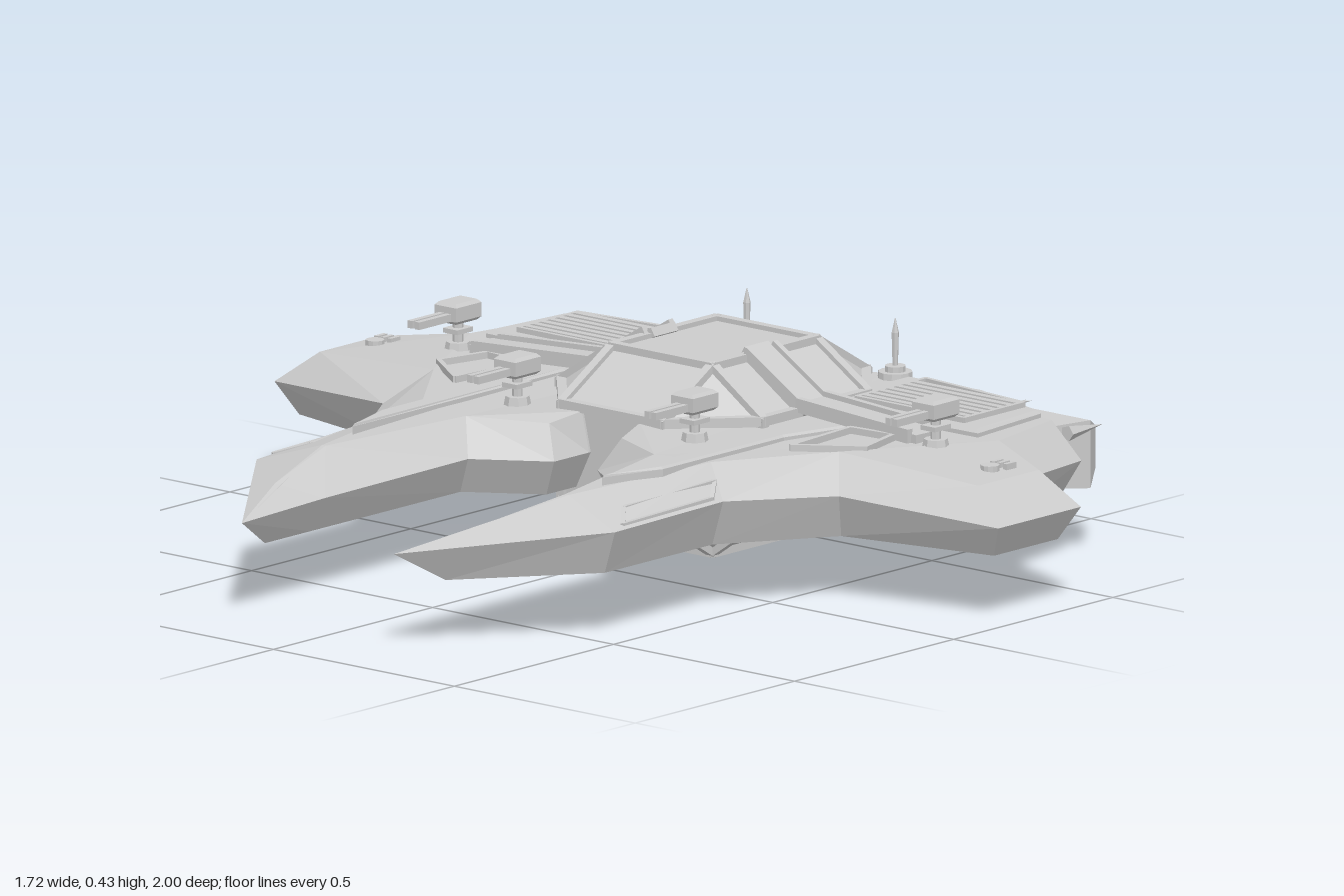
import * as THREE from 'three';
import { ConvexGeometry } from 'three/addons/geometries/ConvexGeometry.js';
import { mergeGeometries } from 'three/addons/utils/BufferGeometryUtils.js';

const V = (x, y, z) => new THREE.Vector3(x, y, z);
const material = new THREE.MeshStandardMaterial({ color: 0xcccccc, flatShading: true });

// Joins pieces into one plain triangle list
function join(geos) {
  return mergeGeometries(geos.map((g) => {
    const n = g.index ? g.toNonIndexed() : g.clone();
    n.deleteAttribute('uv');
    n.computeVertexNormals();
    return n;
  }));
}

// Copy reflected in z, with the corner order turned round
function mirrored(geo) {
  const g = geo.clone(), p = g.attributes.position, src = geo.attributes.position;
  for (let i = 0; i < p.count; i++) {
    const k = i % 3 === 1 ? i + 1 : i % 3 === 2 ? i - 1 : i;
    p.setXYZ(i, src.getX(k), src.getY(k), -src.getZ(k));
  }
  g.computeVertexNormals();
  return g;
}

const box = (x0, x1, y0, y1, z0, z1) =>
  new THREE.BoxGeometry(x1 - x0, y1 - y0, z1 - z0).translate((x0 + x1) / 2, (y0 + y1) / 2, (z0 + z1) / 2);
const cyl = (rt, rb, y0, y1, x, z, n = 8) =>
  new THREE.CylinderGeometry(rt, rb, y1 - y0, n).translate(x, (y0 + y1) / 2, z);

// Straight bar between two points
function beam(a, b, w, h = w) {
  const d = b.clone().sub(a);
  const g = new THREE.BoxGeometry(w, h, d.length() + w * 0.5).lookAt(d);
  return g.translate((a.x + b.x) / 2, (a.y + b.y) / 2, (a.z + b.z) / 2);
}
const outline = (pts, w, h) => pts.map((p, i) => beam(p, pts[(i + 1) % pts.length], w, h));

// Flat plate from an x/z outline
function plate(pts, top, depth, bevel = 0) {
  const shape = new THREE.Shape(pts.map(([x, z]) => new THREE.Vector2(x, z)));
  const g = new THREE.ExtrudeGeometry(shape, {
    depth, bevelEnabled: bevel > 0, bevelSize: bevel, bevelThickness: bevel, bevelSegments: 1, bevelOffset: -bevel,
  });
  return g.rotateX(Math.PI / 2).translate(0, top - bevel, 0);
}

// Moves a closed x/z loop inwards by d
function inset(loop, d, y) {
  const n = loop.length;
  return loop.map((p, i) => {
    const a = loop[(i + n - 1) % n], b = loop[(i + 1) % n];
    const n1 = new THREE.Vector2(p.z - a.z, a.x - p.x).normalize();
    const n2 = new THREE.Vector2(b.z - p.z, p.x - b.x).normalize();
    const k = d / (1 + n1.dot(n2));
    return V(p.x + (n1.x + n2.x) * k, y, p.z + (n1.y + n2.y) * k);
  });
}

// Half hull: belt line (x, z, y) and deck line (x, z, y), nose tip first
const HULL = [
  [-0.86, 0.21, 0.21, -0.67, 0.285, 0.25],
  [-0.49, 0.495, 0.235, -0.46, 0.34, 0.285],
  [-0.15, 0.495, 0.24, -0.08, 0.4, 0.297],
  [0.06, 0.63, 0.235, 0.14, 0.56, 0.305],
  [0.14, 1, 0.21, 0.18, 0.91, 0.28],
  [0.4, 1, 0.21, 0.37, 0.91, 0.28],
  [0.48, 0.79, 0.225, 0.45, 0.73, 0.3],
  [0.68, 0.755, 0.22, 0.66, 0.69, 0.3],
  [0.76, 0.5, 0.22, 0.72, 0.48, 0.305],
  [0.78, 0.2, 0.22, 0.74, 0.19, 0.305],
  [0.7, 0.06, 0.22, 0.7, 0.07, 0.305],
  [0.06, 0.06, 0.22, 0.06, 0.08, 0.305],
  [-0.05, 0.06, 0.22, -0.02, 0.1, 0.29],
  [-0.15, 0.21, 0.22, -0.1, 0.26, 0.295],
  [-0.6, 0.21, 0.217, -0.46, 0.33, 0.285],
];

function hullGeometry() {
  const mid = HULL.map(([x, z, y]) => V(x, y, z));
  const top = HULL.map((r) => V(r[3], r[5], r[4]));
  const low = inset(mid, 0.04, 0.14);
  const pos = [];
  const tri = (...pts) => pts.forEach((p) => pos.push(p.x, p.y, p.z));
  for (const [lo, hi] of [[low, mid], [mid, top]]) {
    lo.forEach((p, i) => {
      const j = (i + 1) % lo.length;
      tri(p, lo[j], hi[j]);
      tri(p, hi[j], hi[i]);
    });
  }
  for (const [loop, up] of [[top, 1], [low, -1]]) {
    const flat = loop.map((p) => new THREE.Vector2(p.x, p.z));
    for (const f of THREE.ShapeUtils.triangulateShape(flat, [])) {
      const [a, b, c] = f.map((i) => loop[i]);
      const ny = (b.z - a.z) * (c.x - a.x) - (b.x - a.x) * (c.z - a.z);
      if (ny * up > 0) tri(a, b, c); else tri(a, c, b);
    }
  }
  const g = new THREE.BufferGeometry();
  g.setAttribute('position', new THREE.Float32BufferAttribute(pos, 3));
  return g;
}

// Small gun turret facing -x
const turret = (x, z) => [
  cyl(0.025, 0.032, 0.28, 0.315, x, z), cyl(0.011, 0.011, 0.31, 0.36, x, z),
  box(x - 0.025, x + 0.025, 0.335, 0.345, z - 0.02, z + 0.02),
  plate([[x - 0.04, z - 0.03], [x + 0.04, z - 0.03], [x + 0.04, z + 0.03], [x - 0.04, z + 0.03]], 0.403, 0.03, 0.007),
  box(x - 0.14, x - 0.03, 0.366, 0.382, z - 0.016, z - 0.003),
  box(x - 0.14, x - 0.03, 0.366, 0.382, z + 0.003, z + 0.016),
];

// Tapered thruster block, wide at the hull and narrower at the rear
function thruster(x0, x1, z0, z1, t) {
  const pts = [], xm = x0 + (x1 - x0) * 0.6;
  for (const [x, k, y0, y1] of [[x0, 0.2, 0.15, 0.28], [xm, 0, 0.14, 0.285], [x1, t, 0.165, 0.255]]) {
    const e = (z1 - z0) * k;
    for (const y of [y0, y1]) pts.push(V(x, y, z0 + e), V(x, y, z1 - e));
  }
  return new ConvexGeometry(pts);
}

export function createModel() {
  const ship = new THREE.Group();
  ship.name = 'spaceship';
  const add = (name, geos) => {
    const mesh = new THREE.Mesh(join(geos), material);
    mesh.name = name;
    ship.add(mesh);
    return mesh;
  };
  const addPair = (name, geos) => {
    const left = add(name + 'Left', geos);
    const right = new THREE.Mesh(mirrored(left.geometry), material);
    right.name = name + 'Right';
    ship.add(right);
  };

  addPair('hull', [hullGeometry()]);

  // Central cabin: faceted panes with bars along the edges
  const cx = 0.385, at = (x, y, z) => V(cx + x, y, z);
  const pts = [], bars = [];
  for (const [yr, yo] of [[0.405, 0.312], [0.01, 0.107]]) {
    const rect = [], ring = [];
    for (const [sx, sz] of [[1, 1], [-1, 1], [-1, -1], [1, -1]]) {
      const r = at(sx * 0.162, yr, sz * 0.137);
      const e = at(sx * 0.32, yo, sz * 0.137), s = at(sx * 0.165, yo, sz * 0.278);
      rect.push(r);
      ring.push(...(sx * sz > 0 ? [e, s] : [s, e]));
      bars.push(beam(r, e, 0.02), beam(r, s, 0.02));
      if (yr > 0.2) bars.push(beam(e, V(e.x, 0.107, e.z), 0.02), beam(s, V(s.x, 0.107, s.z), 0.02));
    }
    pts.push(...rect, ...ring);
    bars.push(...outline(rect, 0.02), ...outline(ring, 0.02));
  }
  add('cabin', [new ConvexGeometry(pts)]);
  add('cabinFrame', bars);

  // Raised channel running from the cabin roof out along the wing
  const path = [V(0.37, 0.408, 0.14), V(0.37, 0.322, 0.28), V(0.355, 0.308, 0.6)];
  const channel = [];
  for (let i = 0; i < 2; i++) {
    channel.push(beam(path[i], path[i + 1], 0.075, 0.02));
    for (const dx of [-0.042, 0.042]) {
      const o = V(dx, 0.006, 0);
      channel.push(beam(path[i].clone().add(o), path[i + 1].clone().add(o), 0.014, 0.03));
    }
  }
  addPair('channel', channel);

  // Rear deck with a slatted vent
  addPair('rearDeck', [plate([[0.43, 0.25], [0.71, 0.25], [0.72, 0.45], [0.66, 0.66], [0.44, 0.68]], 0.317, 0.03, 0.008)]);
  const vent = outline([[0.47, 0.32], [0.685, 0.32], [0.655, 0.615], [0.47, 0.615]].map(([x, z]) => V(x, 0.32, z)), 0.01, 0.016);
  for (let i = 0; i < 7; i++) {
    const x = 0.49 + i * 0.026;
    vent.push(box(x - 0.008, x + 0.008, 0.31, 0.328, 0.325, 0.61));
  }
  addPair('vent', vent);

  // Deck plating and panel lines
  addPair('deckPlate', [plate([[-0.36, 0.345], [-0.22, 0.39], [0.16, 0.39], [0.31, 0.43], [0.31, 0.345]], 0.31, 0.03, 0.005)]);
  addPair('accessPanel', outline([[0.19, 0.59], [0.31, 0.56], [0.3, 0.45], [0.1, 0.465]].map(([x, z]) => V(x, 0.306, z)), 0.011, 0.014));
  addPair('prongPanel', outline([V(-0.45, 0.24, 0.482), V(-0.17, 0.246, 0.482), V(-0.12, 0.268, 0.445), V(-0.39, 0.258, 0.432)], 0.009, 0.012));
  const hatch = [cyl(0.02, 0.02, 0.275, 0.297, 0.285, 0.85, 12)];
  for (let i = 0; i < 3; i++) hatch.push(box(0.31, 0.34, 0.275, 0.297, 0.828 + i * 0.018, 0.838 + i * 0.018));
  addPair('wingHatch', hatch);

  addPair('innerTurret', turret(0.045, 0.245));
  addPair('outerTurret', turret(0.33, 0.66));

  // Thrusters along the stern with spikes between them
  addPair('thruster', [
    thruster(0.66, 0.825, 0.51, 0.71, 0.22),
    thruster(0.68, 0.86, 0.27, 0.47, 0.3),
    thruster(0.68, 0.81, 0.11, 0.23, 0.12),
  ]);
  const spikes = [];
  for (const [x, z, turn] of [[0.735, 0.715, 0], [0.8, 0.47, 0.35], [0.8, 0.45, -0.3], [0.78, 0.235, 0.35]]) {
    spikes.push(new THREE.ConeGeometry(0.017, 0.11, 5).rotateZ(-Math.PI / 2).rotateY(turn).translate(x, 0.272, z));
  }
  addPair('spikes', spikes);

  // Antenna on a round base
  addPair('antenna', [
    cyl(0.036, 0.04, 0.27, 0.318, 0.72, 0.205, 12), cyl(0.022, 0.022, 0.31, 0.33, 0.72, 0.205, 12),
    cyl(0.008, 0.006, 0.33, 0.4, 0.72, 0.205, 6), cyl(0.001, 0.008, 0.4, 0.43, 0.72, 0.205, 6),
  ]);
  return ship;
}
